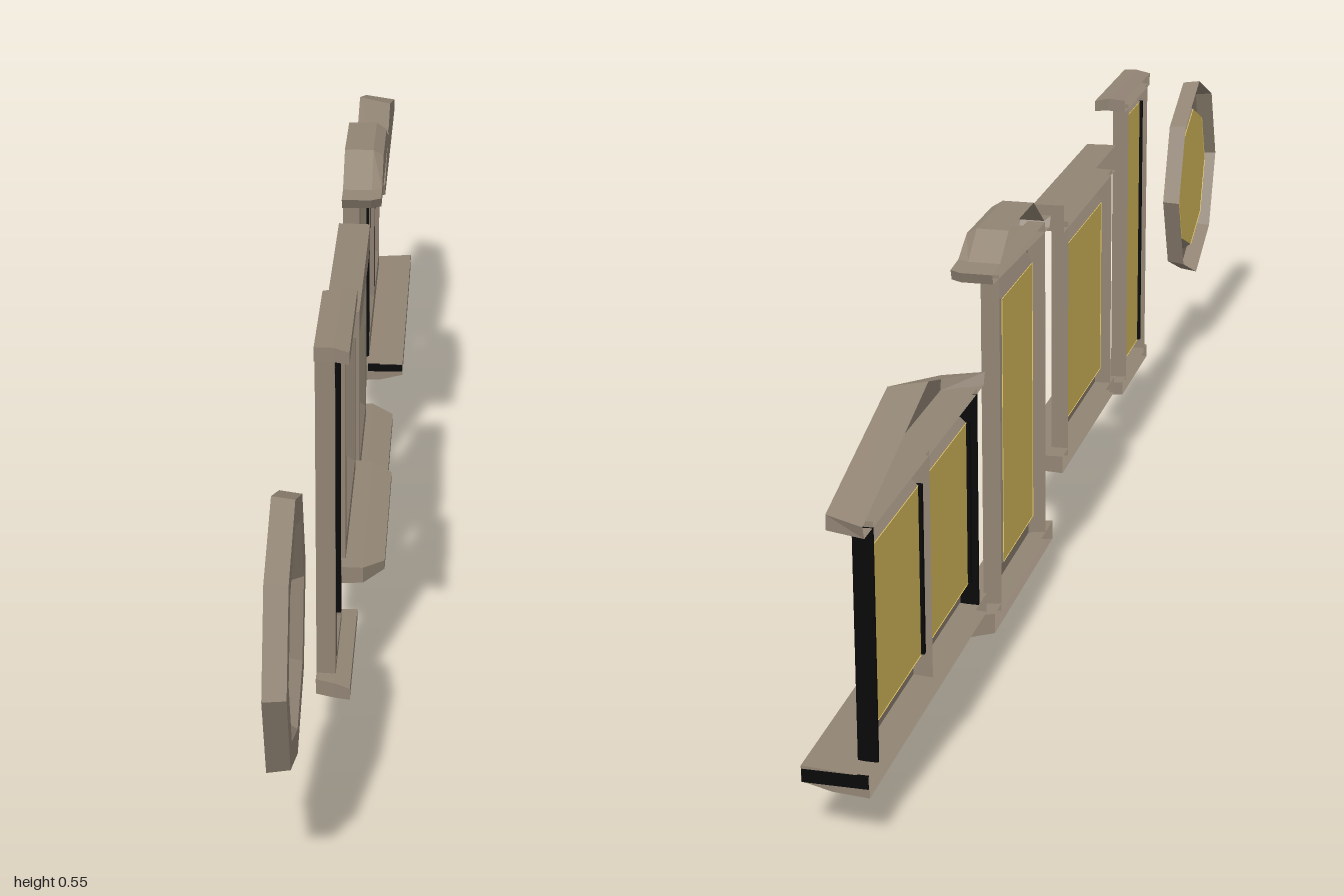
import * as THREE from 'three';

const frameMat = new THREE.MeshStandardMaterial({ color: 0x918474, side: THREE.DoubleSide });
frameMat.name = 'weatheredFrame';
const paneMat = new THREE.MeshStandardMaterial({ color: 0xe5c764, side: THREE.DoubleSide });
paneMat.name = 'amberGlass';
const darkMat = new THREE.MeshStandardMaterial({ color: 0x080808 });
darkMat.name = 'blackTrim';

// Outlines lie in the wall plane as [z, y], counterclockwise seen from +x.
const rect = (zHi, zLo, y0, y1) => [[zHi, y0], [zLo, y0], [zLo, y1], [zHi, y1]];

const octagon = (z, y, r) => Array.from({ length: 8 }, (_, i) => {
  const a = i * Math.PI / 4;
  return [z - r * Math.cos(a), y + r * Math.sin(a)];
});

// Shell through outlines at successive x values, open at the wall side;
// the last outline can be filled in.
function shell(sections, filled) {
  const pos = [];
  const put = (s, i) => {
    const p = s.outline[i % s.outline.length];
    pos.push(s.x, p[1], p[0]);
  };
  const last = sections[sections.length - 1];
  for (let k = 0; k < sections.length - 1; k++) {
    const a = sections[k], b = sections[k + 1];
    for (let i = 0; i < a.outline.length; i++) {
      put(a, i); put(a, i + 1); put(b, i + 1);
      put(a, i); put(b, i + 1); put(b, i);
    }
  }
  if (filled) {
    const flat = last.outline.map(([z, y]) => new THREE.Vector2(-z, y));
    for (const face of THREE.ShapeUtils.triangulateShape(flat, [])) {
      face.forEach((i) => put(last, i));
    }
  }
  const geo = new THREE.BufferGeometry();
  geo.setAttribute('position', new THREE.Float32BufferAttribute(pos, 3));
  geo.computeVertexNormals();
  return geo;
}

function add(group, name, geo, mat = frameMat) {
  const mesh = new THREE.Mesh(geo, mat);
  mesh.name = name;
  group.add(mesh);
}

// Frame with a bevelled opening, and the glass set inside it
function framedPane(group, outerBack, outer, opening, glass, back = -0.025, front = 0, depth = -0.016) {
  add(group, 'frame', shell([
    { x: back, outline: outerBack },
    { x: front, outline: outer },
    { x: front, outline: opening },
    { x: depth, outline: glass },
  ], false));
  add(group, 'glass', shell([
    { x: depth - 0.001, outline: glass },
    { x: depth, outline: glass },
  ], true), paneMat);
}

// Cap or sill through rectangles given as [x, zHi, zLo, y0, y1]
function ledge(group, name, steps) {
  add(group, name, shell(steps.map(([x, ...r]) => ({ x, outline: rect(...r) })), true));
}

// Thin black plate across the wall's thickness
function darkPlate(group, name, x0, x1, y0, y1, z, thickness) {
  const geo = new THREE.BoxGeometry(x1 - x0, y1 - y0, thickness);
  add(group, name, geo.translate((x0 + x1) / 2, (y0 + y1) / 2, z), darkMat);
}

export function createModel() {
  const model = new THREE.Group();
  model.name = 'windowSet';
  const windowGroup = (name) => {
    const g = new THREE.Group();
    g.name = name;
    model.add(g);
    return g;
  };

  // Eight-sided window
  const oct = windowGroup('octagonWindow');
  framedPane(oct, octagon(0.83, 0.3, 0.172), octagon(0.83, 0.3, 0.168),
    octagon(0.83, 0.3, 0.135), octagon(0.83, 0.3, 0.122), -0.058, -0.03, -0.047);

  // Narrow window with black reveals beside the glass
  const narrow = windowGroup('narrowWindow');
  const narrowBody = rect(0.542, 0.396, 0.075, 0.533);
  framedPane(narrow, narrowBody, narrowBody, rect(0.53, 0.408, 0.092, 0.515),
    rect(0.525, 0.413, 0.1, 0.507));
  for (const z of [0.528, 0.41]) darkPlate(narrow, 'reveal', -0.02, 0.0005, 0.1, 0.507, z, 0.007);
  ledge(narrow, 'cap', [
    [-0.025, 0.56, 0.368, 0.527, 0.546],
    [0, 0.568, 0.364, 0.53, 0.549],
    [0.02, 0.576, 0.357, 0.53, 0.546],
  ]);
  ledge(narrow, 'sill', [
    [-0.025, 0.56, 0.368, 0.059, 0.08],
    [0, 0.568, 0.364, 0.058, 0.079],
    [0.02, 0.576, 0.357, 0.06, 0.076],
  ]);

  // Square window
  const square = windowGroup('squareWindow');
  const squareBody = rect(0.275, -0.015, 0.1, 0.46);
  framedPane(square, squareBody, squareBody, rect(0.257, -0.003, 0.132, 0.43),
    rect(0.24, 0.008, 0.148, 0.417));
  ledge(square, 'cap', [
    [-0.025, 0.302, -0.043, 0.452, 0.492],
    [0.02, 0.302, -0.043, 0.454, 0.491],
  ]);
  ledge(square, 'sill', [
    [-0.025, 0.302, -0.05, 0.086, 0.112],
    [0.025, 0.302, -0.05, 0.088, 0.111],
    [0.054, 0.27, -0.02, 0.094, 0.107],
  ]);

  // Tall window with a hipped cap
  const tall = windowGroup('tallWindow');
  const tallBody = rect(-0.155, -0.405, 0.025, 0.5);
  framedPane(tall, tallBody, tallBody, rect(-0.178, -0.381, 0.056, 0.471),
    rect(-0.195, -0.36, 0.077, 0.453));
  const hip = [[-0.13, 0.485], [-0.435, 0.497], [-0.44, 0.511], [-0.4, 0.514],
    [-0.355, 0.546], [-0.22, 0.546], [-0.16, 0.503], [-0.122, 0.5]];
  const hipFront = hip.map(([z, y]) => [-0.28 + (z + 0.28) * 0.94, y - (y > 0.54 ? 0.009 : 0)]);
  add(tall, 'hippedCap', shell([
    { x: -0.025, outline: hip },
    { x: 0.018, outline: hip },
    { x: 0.033, outline: hipFront },
  ], true));
  ledge(tall, 'sill', [
    [-0.025, -0.112, -0.44, 0.008, 0.036],
    [0.01, -0.11, -0.445, 0, 0.032],
    [0.043, -0.135, -0.42, 0.01, 0.025],
  ]);

  // Double window with a gabled cap, black end walls and black sill ends
  const twin = windowGroup('doubleWindow');
  for (const [zHi, zLo, a, b] of [[-0.52, -0.737, 0.02, 0.017], [-0.737, -0.962, 0.018, 0.022]]) {
    const body = rect(zHi, zLo, 0.085, 0.385);
    framedPane(twin, body, body, rect(zHi - a + 0.006, zLo + b - 0.006, 0.113, 0.356),
      rect(zHi - a, zLo + b, 0.124, 0.346));
    darkPlate(twin, 'reveal', -0.02, 0.0005, 0.124, 0.346, zHi - a + 0.003, 0.007);
  }
  for (const z of [-0.52, -0.962]) darkPlate(twin, 'endWall', -0.025, -0.0005, 0.086, 0.378, z, 0.004);
  add(twin, 'gabledCap', shell([
    { x: -0.025, outline: [[-0.487, 0.378], [-0.995, 0.378], [-1, 0.394], [-0.735, 0.471], [-0.48, 0.394]] },
    { x: 0.026, outline: [[-0.51, 0.375], [-0.975, 0.375], [-0.975, 0.394], [-0.735, 0.46], [-0.505, 0.394]] },
  ], true));
  ledge(twin, 'sill', [
    [-0.025, -0.482, -0.998, 0.058, 0.085],
    [0.02, -0.48, -0.998, 0.061, 0.088],
    [0.057, -0.48, -0.998, 0.07, 0.09],
  ]);
  darkPlate(twin, 'sillEnd', -0.024, 0.056, 0.07, 0.086, -0.998, 0.004);
  darkPlate(twin, 'sillEnd', 0, 0.056, 0.076, 0.088, -0.481, 0.004);

  return model;
}
